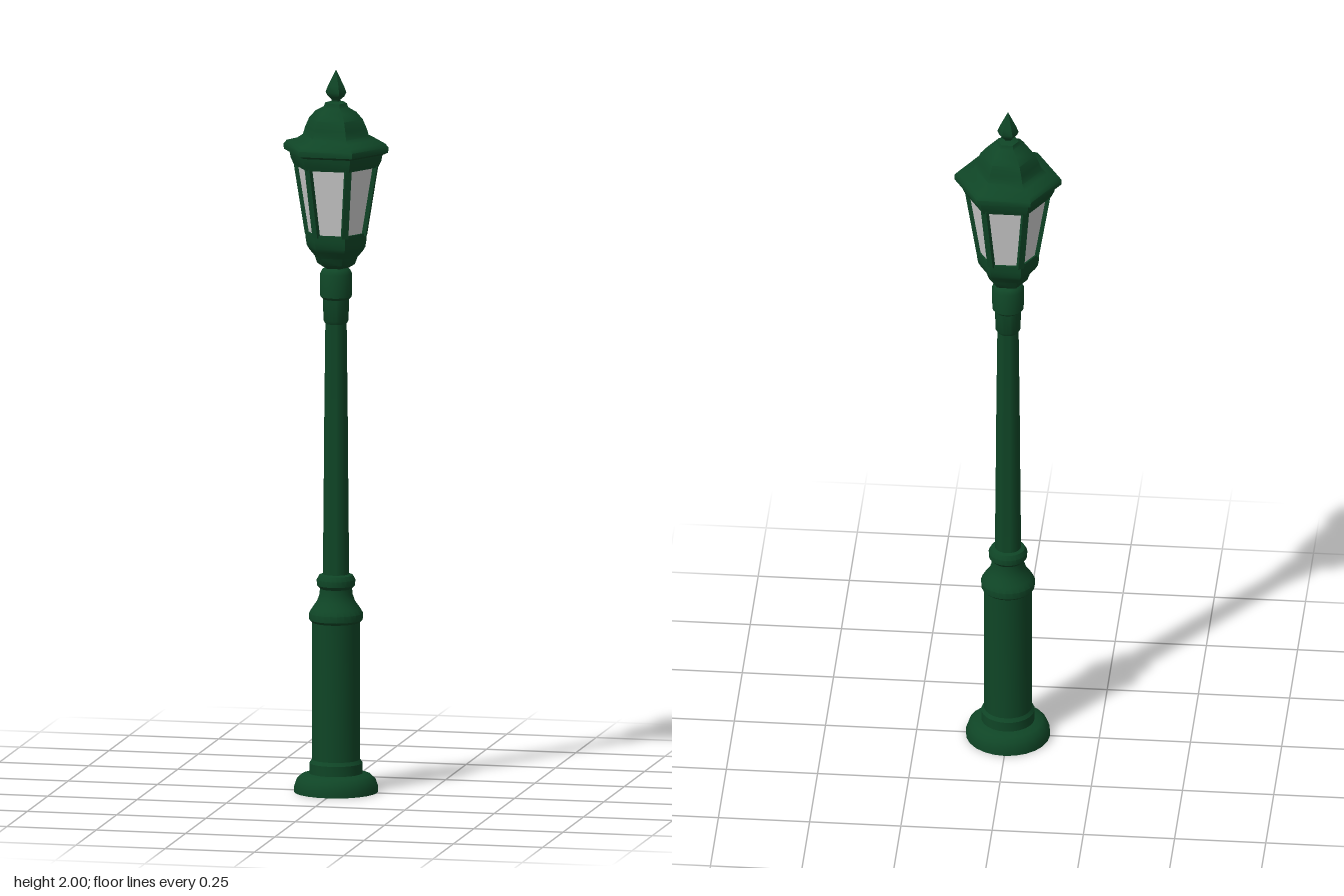
import * as THREE from 'three';
import { toCreasedNormals } from 'three/addons/utils/BufferGeometryUtils.js';

const HEX_TURN = Math.PI / 6; // puts hexagon corners on +x and -x

export function createModel() {
  const model = new THREE.Group();
  model.name = 'streetLamp';

  const greenIron = new THREE.MeshStandardMaterial({ color: 0x0f4526 });
  greenIron.name = 'dark green iron';
  const paleGlass = new THREE.MeshStandardMaterial({ color: 0xcccccc });
  paleGlass.name = 'pale glass';

  const add = (name, geometry, material, parent = model) => {
    const mesh = new THREE.Mesh(geometry, material);
    mesh.name = name;
    parent.add(mesh);
    return mesh;
  };

  // Turned part from [radius, height] pairs listed bottom to top
  const turned = (name, profile, sides, crease) => {
    const points = profile.map(([r, y]) => new THREE.Vector2(r, y));
    const geometry = new THREE.LatheGeometry(points, sides, sides === 6 ? HEX_TURN : 0);
    return add(name, toCreasedNormals(geometry, crease), greenIron);
  };
  const round = (name, profile) => turned(name, profile, 24, 0.6);
  const hex = (name, profile) => turned(name, profile, 6, 0.9);

  // Round post
  round('baseFoot', [[0, 0], [0.115, 0], [0.115, 0.015], [0.108, 0.035], [0.095, 0.047], [0.073, 0.052],
    [0.073, 0.08], [0.066, 0.09]]);
  round('pedestal', [[0.066, 0.085], [0.066, 0.47], [0.073, 0.477], [0.074, 0.495], [0.065, 0.51],
    [0.052, 0.528], [0.045, 0.548], [0.044, 0.563], [0.052, 0.572], [0.053, 0.588], [0.046, 0.6], [0.034, 0.604]]);
  round('pole', [[0.036, 0.6], [0.034, 0.8], [0.032, 1.05], [0.029, 1.31]]);
  round('poleCollar', [[0.028, 1.295], [0.034, 1.305], [0.036, 1.365], [0.043, 1.372], [0.044, 1.435],
    [0.038, 1.447], [0.03, 1.452], [0.03, 1.465], [0, 1.465]]);

  // Six-sided lantern
  hex('lanternCup', [[0, 1.452], [0.035, 1.452], [0.053, 1.463], [0.06, 1.483], [0.075, 1.5], [0.082, 1.512],
    [0.085, 1.53], [0.085, 1.55], [0, 1.55]]);
  hex('lanternRoof', [[0, 1.733], [0.118, 1.733], [0.127, 1.752], [0.13, 1.768], [0.146, 1.775], [0.147, 1.79],
    [0.138, 1.8], [0.108, 1.808], [0.093, 1.818], [0.086, 1.84], [0.075, 1.865], [0.057, 1.885],
    [0.034, 1.897], [0.03, 1.908], [0.012, 1.913]]);
  hex('finial', [[0.012, 1.91], [0.012, 1.917], [0.024, 1.927], [0.029, 1.938], [0.022, 1.956], [0.01, 1.98], [0, 2]]);

  // Glass panes
  const glass = new THREE.CylinderGeometry(0.11, 0.079, 0.19, 6, 1, true, HEX_TURN);
  add('glassPanes', toCreasedNormals(glass, 0.5), paleGlass).position.y = 1.642;

  // Slanted corner bars
  const bars = new THREE.Group();
  bars.name = 'lanternBars';
  model.add(bars);
  const lean = Math.atan2(0.031, 0.19);
  const barGeometry = new THREE.BoxGeometry(0.018, 0.198, 0.018);
  for (let i = 0; i < 6; i++) {
    const corner = new THREE.Group();
    corner.name = 'cornerBar';
    corner.rotation.y = (i * Math.PI) / 3;
    const bar = add('bar', barGeometry, greenIron, corner);
    bar.position.set(0.092, 1.642, 0);
    bar.rotation.z = -lean;
    bars.add(corner);
  }

  return model;
}
